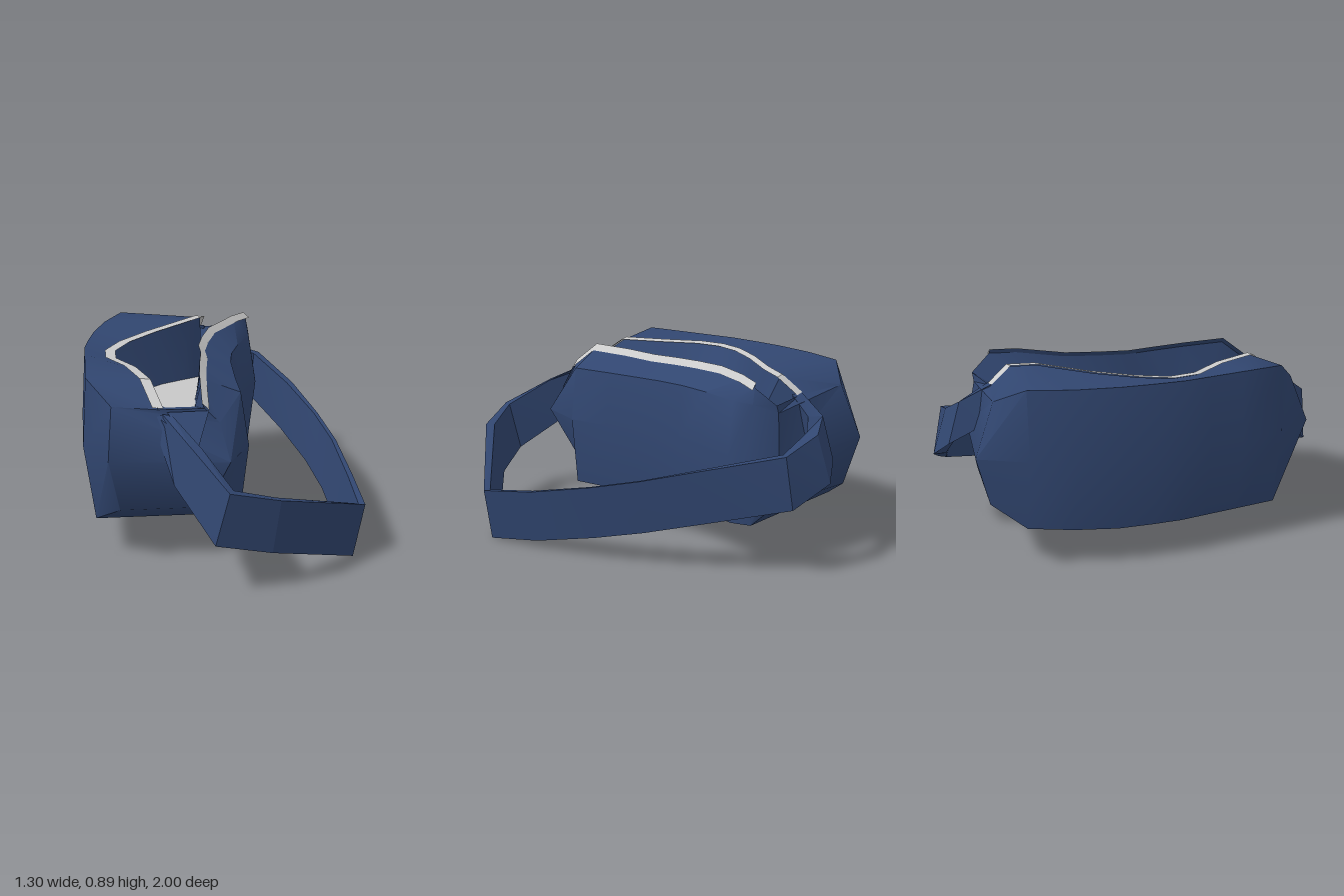
import * as THREE from 'three';
import { toCreasedNormals } from 'three/addons/utils/BufferGeometryUtils.js';

const blue = new THREE.MeshStandardMaterial({ color: 0x314670, side: THREE.DoubleSide });
const grey = new THREE.MeshStandardMaterial({ color: 0xcccccc, side: THREE.DoubleSide });

// Skin between rows of points; ring closes each row, caps closes both ends
function loft(rows, { ring = false, caps = false, crease = 0.6 } = {}) {
  const n = rows[0].length, index = [];
  const quad = (a, b, c, d) => index.push(a, b, c, a, c, d);
  for (let i = 0; i < rows.length - 1; i++) {
    for (let j = 0; j < (ring ? n : n - 1); j++) {
      const k = (j + 1) % n;
      quad(i * n + j, i * n + k, (i + 1) * n + k, (i + 1) * n + j);
    }
  }
  if (caps) {
    const e = (rows.length - 1) * n;
    for (let j = 0; j < n / 2 - 1; j++) {
      quad(j, n - 1 - j, n - 2 - j, j + 1);
      quad(e + j, e + j + 1, e + n - 2 - j, e + n - 1 - j);
    }
  }
  const g = new THREE.BufferGeometry();
  g.setAttribute('position', new THREE.Float32BufferAttribute(rows.flat(2), 3));
  g.setIndex(index);
  return toCreasedNormals(g, crease);
}

// Bag stations from front to back:
// z, left wall x, right wall x, left rim x, right rim x, rim y, bottom y, left z shift
const stations = [
  [0.58, -0.54, 0.01, -0.31, -0.10, 0.75, 0.27, 0],
  [0.45, -0.65, 0.12, -0.36, -0.10, 0.85, 0.18, 0],
  [0.24, -0.65, 0.12, -0.42, -0.08, 0.85, 0.18, 0],
  [0.07, -0.65, 0.125, -0.505, -0.06, 0.845, 0.18, 0],
  [-0.06, -0.65, 0.13, -0.505, -0.06, 0.845, 0.18, 0],
  [-0.20, -0.63, 0.15, -0.43, -0.03, 0.85, 0.18, 0],
  [-0.36, -0.60, 0.20, -0.29, 0.02, 0.855, 0.18, 0],
  [-0.55, -0.54, 0.28, -0.08, 0.16, 0.865, 0.19, -0.01],
  [-0.66, -0.45, 0.29, -0.01, 0.235, 0.855, 0.20, -0.09],
  [-0.76, -0.30, 0.23, -0.02, 0.21, 0.78, 0.30, -0.16],
];
// Floor of the opening: left x, right x, z
const floorEdge = [
  [-0.27, -0.13, 0.43], [-0.29, -0.12, 0.33], [-0.32, -0.11, 0.20],
  [-0.355, -0.09, 0.07], [-0.355, -0.08, -0.03], [-0.31, -0.07, -0.15],
  [-0.24, -0.04, -0.27], [-0.12, 0.00, -0.40], [-0.05, 0.04, -0.47],
  [-0.01, 0.07, -0.52],
];
const last = stations.length - 1;

function bagRow([z, xl, xr, rl, rr, y, b, shift], i) {
  const front = i === 0, back = i === last;
  const bulge = front ? 0.09 : back ? -0.03 : 0;
  const zl = z + shift;
  return [
    [rl, y, z],
    [xl + 0.02, front ? 0.77 : back ? 0.79 : 0.87, zl + (back ? 0.07 : 0)],
    [xl, 0.54, zl + bulge],
    [xl + (back ? 0.02 : 0.05), b, zl + (back ? 0.04 : 0)],
    [xr - (front ? 0.1 : 0.04), b, z],
    [xr, 0.52, z + bulge],
    [xr - 0.04, front ? 0.68 : back ? 0.74 : 0.78, z],
    [rr, y, z],
  ];
}

// Flat tape along one edge of the opening; from and to are x and y offsets
function zipTape(side, rows, from, to) {
  return loft(rows.map((s) => [from, to].map(([dx, dy]) => [s[side] + dx, s[5] + dy, s[0]])));
}

// Strap stations: outer top edge, outer bottom edge, inward offset x and z
const strapPath = [
  [[-0.29, 0.73, 0.59], [-0.34, 0.71, 0.585], [0.04, 0.01]],
  [[-0.17, 0.63, 0.80], [-0.25, 0.44, 0.73], [0.04, -0.02]],
  [[-0.03, 0.50, 1.00], [-0.09, 0.25, 0.98], [0.02, -0.04]],
  [[0.20, 0.44, 0.95], [0.17, 0.18, 0.92], [-0.02, -0.04]],
  [[0.65, 0.26, 0.60], [0.60, 0.00, 0.60], [-0.03, -0.015]],
  [[0.645, 0.30, 0.32], [0.60, 0.04, 0.32], [-0.025, 0]],
  [[0.62, 0.37, 0.00], [0.575, 0.11, 0.00], [-0.02, 0]],
  [[0.57, 0.43, -0.25], [0.53, 0.17, -0.25], [-0.02, 0]],
  [[0.48, 0.51, -0.55], [0.45, 0.25, -0.55], [-0.03, 0.01]],
  [[0.34, 0.59, -0.88], [0.32, 0.34, -0.91], [-0.03, 0.03]],
  [[0.13, 0.65, -0.93], [0.13, 0.43, -1.00], [-0.01, 0.06]],
  [[0.02, 0.71, -0.90], [0.02, 0.51, -0.96], [0.05, 0.05]],
  [[-0.04, 0.79, -0.76], [-0.05, 0.60, -0.81], [0.06, 0.02]],
];

export function createModel() {
  const model = new THREE.Group();
  const add = (name, geometry, material) => {
    const mesh = new THREE.Mesh(geometry, material);
    mesh.name = name;
    model.add(mesh);
  };

  // Outer shell, closed at both ends below the rim
  add('bagBody', loft(stations.map(bagRow), { caps: true, crease: 0.75 }), blue);

  // Lining and raised floor inside the opening
  const left = [], right = [], floor = [];
  stations.forEach((s, i) => {
    const [fl, fr, fz] = floorEdge[i];
    const fy = 0.57 + 0.14 * (fz + 0.52) / 0.95;
    const a = [fl, fy, fz], b = [fr, fy, fz];
    left.push([[s[3], s[5], s[0]], a]);
    right.push([b, [s[4], s[5], s[0]]]);
    floor.push([a, b]);
  });
  add('liningLeft', loft(left), blue);
  add('liningRight', loft(right), blue);
  for (const [name, i] of [['liningFront', 0], ['liningBack', last]]) {
    add(name, loft([[left[i][0], right[i][1]], floor[i]]), blue);
  }
  add('innerFloor', loft(floor), grey);

  // Zip tapes along both edges; the right one leans over the wall and ends short,
  // with a blue backing on its inner side
  const shortRun = stations.slice(0, last);
  add('zipTapeLeft', zipTape(3, stations, [-0.025, 0.01], [0.025, 0.005]), grey);
  add('zipTapeRight', zipTape(4, shortRun, [-0.01, 0.022], [0.022, -0.008]), grey);
  add('zipBacking', zipTape(4, shortRun, [-0.011, 0.021], [0, 0]), blue);

  // Waist strap looping from the front to the back of the bag
  const strap = strapPath.map(([t, b, [dx, dz]]) => [
    t, b, [b[0] + dx, b[1], b[2] + dz], [t[0] + dx, t[1], t[2] + dz],
  ]);
  add('strap', loft(strap, { ring: true, caps: true, crease: 0.3 }), blue);

  // Folded tab where the strap meets the front of the bag
  add('strapTab', loft([
    [[-0.27, 0.74, 0.59], [-0.21, 0.66, 0.69]],
    [[-0.08, 0.74, 0.585], [-0.14, 0.60, 0.70]],
  ]), blue);

  return model;
}
